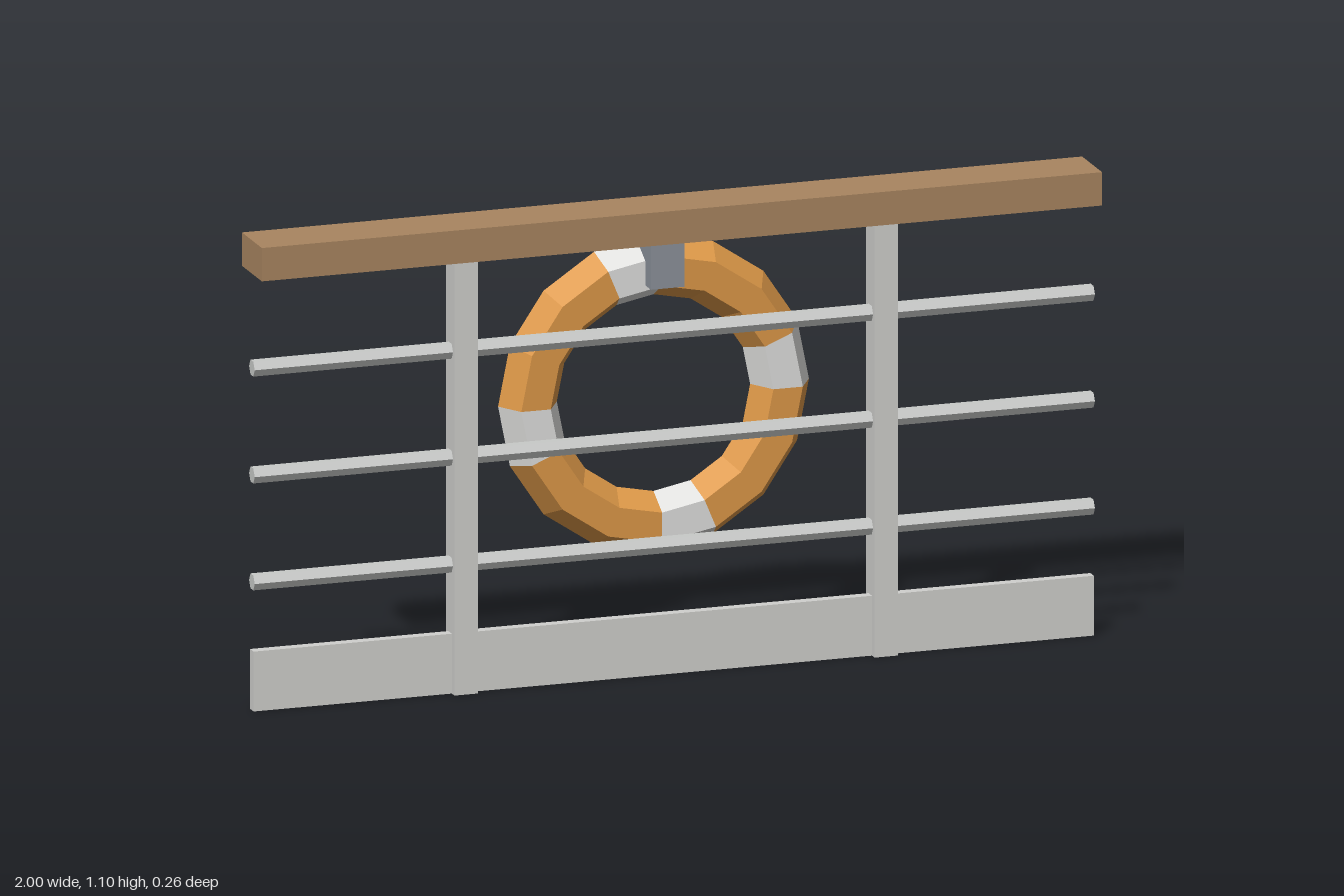
import * as THREE from 'three';

const material = (name, color) => {
  const m = new THREE.MeshStandardMaterial({ color, flatShading: true });
  m.name = name;
  return m;
};

export function createModel() {
  const group = new THREE.Group();
  group.name = 'railingWithLifeRing';

  const wood = material('wood', 0xa98560);
  const paint = material('paleGreyPaint', 0xd0d0cd);
  const steel = material('steel', 0xc8cac8);
  const bracketGrey = material('bracketGrey', 0x8c929b);
  const orange = material('orange', 0xdd9848);
  const white = material('white', 0xe0e0de);

  const add = (name, geometry, mat, x, y, z) => {
    const mesh = new THREE.Mesh(geometry, mat);
    mesh.name = name;
    mesh.position.set(x, y, z);
    group.add(mesh);
    return mesh;
  };

  // Wooden handrail and kick board
  add('handrail', new THREE.BoxGeometry(2, 0.078, 0.14), wood, 0, 1.06, 0.06);
  add('kickBoard', new THREE.BoxGeometry(2, 0.14, 0.024), paint, 0, 0.07, 0.06);

  // Posts
  for (const side of [-1, 1]) {
    add('post', new THREE.BoxGeometry(0.056, 1.021, 0.06), paint, side * 0.5, 0.5105, 0.06);
  }

  // Six-sided horizontal bars
  for (const y of [0.3, 0.55, 0.8]) {
    add('bar', new THREE.CylinderGeometry(0.02, 0.02, 2, 6), steel, 0, y, 0.06).rotation.z = Math.PI / 2;
  }

  // Bracket holding the ring
  add('bracket', new THREE.BoxGeometry(0.08, 0.12, 0.08), bracketGrey, 0, 0.95, -0.01);

  // Life ring: each quarter is one white band followed by three orange segments
  const step = Math.PI / 8;
  const ring = new THREE.Group();
  ring.name = 'lifeRing';
  ring.position.set(0, 0.62, -0.07);
  for (let q = 0; q < 4; q++) {
    const band = new THREE.Mesh(new THREE.TorusGeometry(0.3, 0.07, 6, 1, step), white);
    band.name = 'ringBand';
    band.rotation.z = q * 4 * step;
    const body = new THREE.Mesh(new THREE.TorusGeometry(0.3, 0.07, 6, 3, 3 * step), orange);
    body.name = 'ringBody';
    body.rotation.z = (q * 4 + 1) * step;
    ring.add(band, body);
  }
  group.add(ring);

  return group;
}
